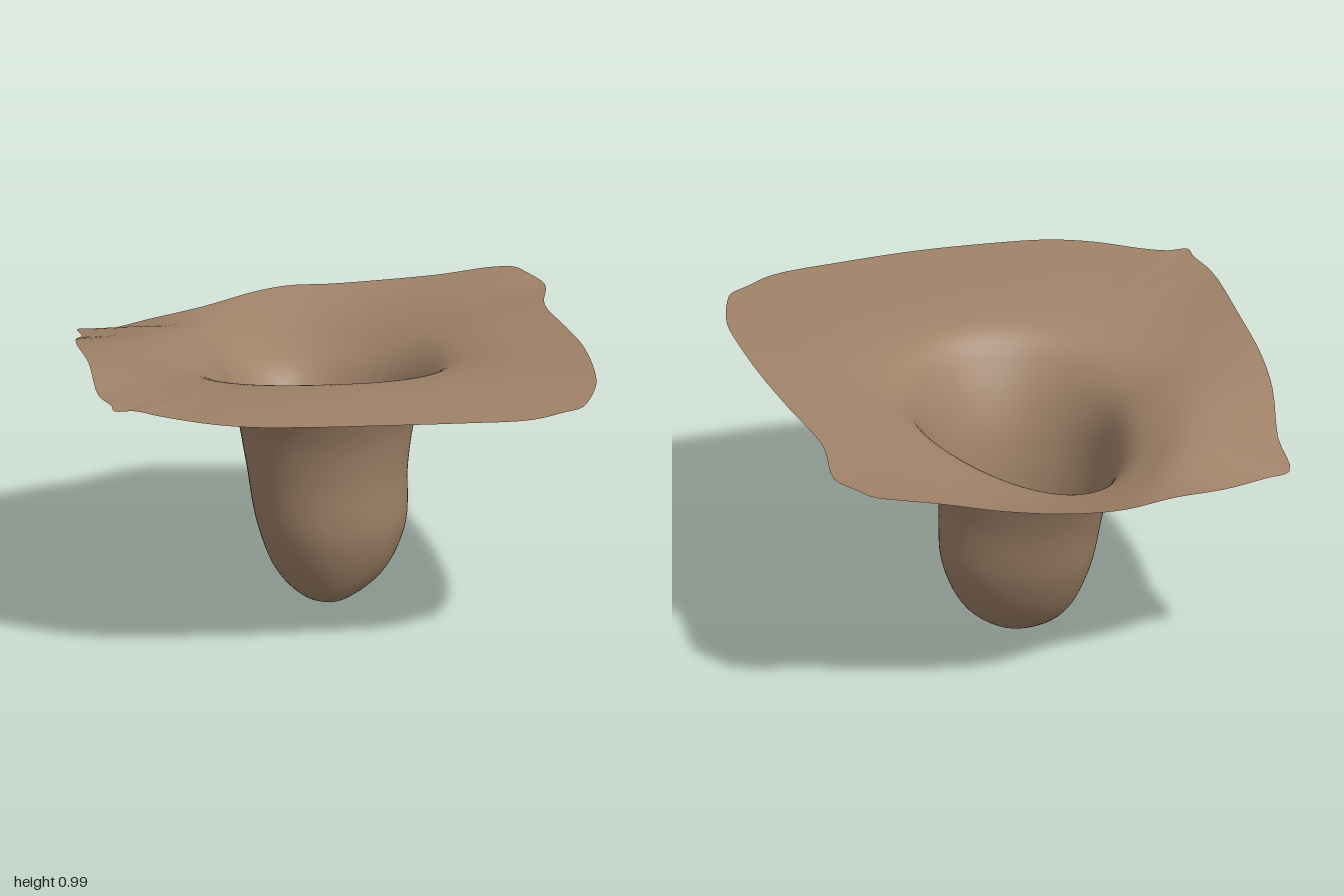
import * as THREE from 'three';

const CZ = -0.08; // z of the pit axis

// Rings from the pit floor to the ground: [x+, z+, x-, z-] extents and the height on each side
const RINGS = [
  { e: [0, -0.06, 0, -0.1], y: [0, 0, 0, 0] },
  { e: [0.06, 0.03, -0.08, -0.12], y: [0.008, 0.015, 0.008, 0.008] },
  { e: [0.19, 0.1, -0.18, -0.24], y: [0.1, 0.1, 0.1, 0.09] },
  { e: [0.27, 0.17, -0.25, -0.35], y: [0.27, 0.27, 0.27, 0.27] },
  { e: [0.28, 0.19, -0.29, -0.42], y: [0.5, 0.5, 0.5, 0.5] },
  { e: [0.31, 0.22, -0.33, -0.49], y: [0.69, 0.65, 0.7, 0.65] },
  { e: [0.35, 0.29, -0.38, -0.56], y: [0.8, 0.81, 0.8, 0.715] },
  { e: [0.42, 0.38, -0.46, -0.66], y: [0.88, 0.93, 0.86, 0.75] },
  { e: [0.56, 0.52, -0.6, -0.78], y: [0.93, 0.965, 0.91, 0.785] },
];

// Outer edge of the ground sheet as x, z, height
const EDGE = [
  [0.80, -0.4, 0.945], [0.84, -0.1, 0.96], [0.87, 0.15, 0.975], [0.88, 0.4, 0.98], [0.87, 0.6, 0.975],
  [0.82, 0.78, 0.97], [0.785, 0.85, 0.97], [0.72, 0.89, 0.97], [0.6, 0.96, 0.97], [0.35, 0.985, 0.975],
  [0.07, 0.995, 0.98], [-0.2, 0.985, 0.98], [-0.4, 0.96, 0.98], [-0.55, 0.9, 0.98], [-0.7, 0.8, 0.98],
  [-0.78, 0.75, 0.985], [-0.85, 0.745, 0.985], [-0.855, 0.68, 0.985], [-0.885, 0.55, 0.98], [-0.88, 0.2, 0.985],
  [-0.885, -0.1, 0.95], [-0.87, -0.3, 0.91], [-0.82, -0.55, 0.84], [-0.805, -0.75, 0.8], [-0.72, -0.76, 0.79],
  [-0.55, -0.83, 0.8], [-0.35, -0.89, 0.82], [-0.15, -0.98, 0.84], [-0.03, -1, 0.85], [0.1, -0.985, 0.855],
  [0.3, -0.95, 0.875], [0.5, -0.9, 0.905], [0.65, -0.88, 0.93], [0.74, -0.85, 0.94], [0.78, -0.78, 0.94],
  [0.83, -0.66, 0.935],
];

// Point of a ring in direction t, blended between its four sides
function ringPoint(ring, i, t) {
  const c = Math.cos(t), s = Math.sin(t);
  const ix = c > 0 ? 0 : 2, iz = s > 0 ? 1 : 3;
  const skew = s < 0 ? -0.1 * s * s * Math.min(1, i / 6) : 0; // back of the pit leans to one side
  return new THREE.Vector3(
    Math.abs(c) * ring.e[ix] + skew,
    ring.y[ix] * c * c + ring.y[iz] * s * s,
    CZ + Math.abs(s) * (ring.e[iz] - CZ)
  );
}

function sheetGeometry() {
  const around = EDGE.length * 4, out = 56;
  const edge = new THREE.CatmullRomCurve3(EDGE.map(([x, z, y]) => new THREE.Vector3(x, y, z)), true);
  const positions = [], index = [];
  for (let j = 0; j < around; j++) {
    const rim = edge.getPoint(j / around);
    const t = Math.atan2(rim.z - CZ, rim.x);
    const spoke = new THREE.CatmullRomCurve3([...RINGS.map((r, i) => ringPoint(r, i, t)), rim]);
    for (let i = 0; i <= out; i++) {
      const p = spoke.getPoint(i / out);
      positions.push(p.x, Math.max(0, p.y), p.z);
    }
  }
  const id = (i, j) => (j % around) * (out + 1) + i;
  for (let j = 0; j < around; j++) {
    for (let i = 0; i < out; i++) {
      index.push(id(i, j), id(i, j + 1), id(i + 1, j));
      index.push(id(i + 1, j), id(i, j + 1), id(i + 1, j + 1));
    }
  }
  const geometry = new THREE.BufferGeometry();
  geometry.setAttribute('position', new THREE.Float32BufferAttribute(positions, 3));
  geometry.setIndex(index);
  geometry.computeVertexNormals();
  return geometry;
}

export function createModel() {
  const earth = new THREE.MeshStandardMaterial({ color: 0xa08268, side: THREE.DoubleSide });
  earth.name = 'earth brown';
  const sheet = new THREE.Mesh(sheetGeometry(), earth);
  sheet.name = 'groundWithPit';
  const group = new THREE.Group();
  group.name = 'pit';
  group.add(sheet);
  return group;
}
